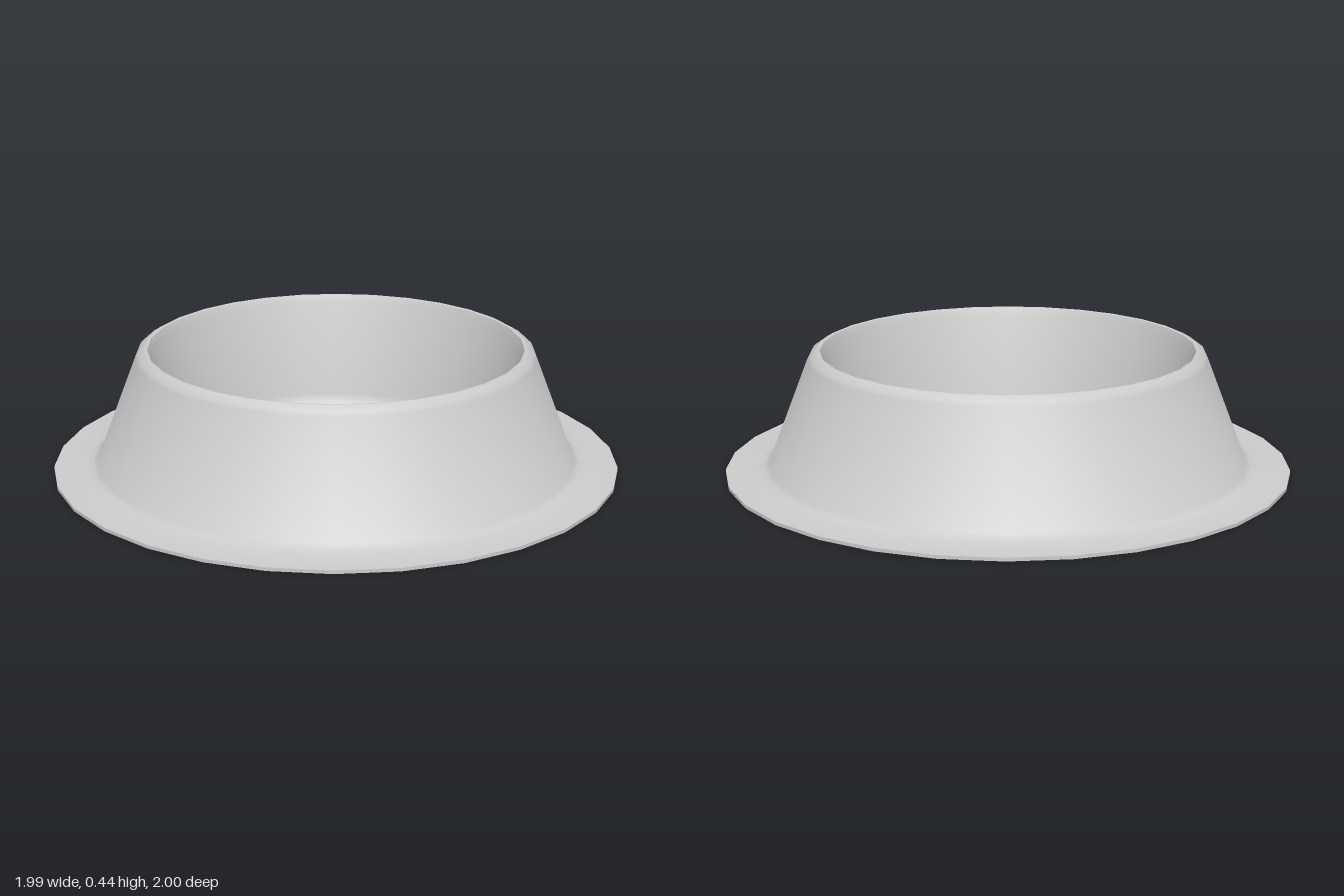
import * as THREE from 'three';
import { toCreasedNormals } from 'three/addons/utils/BufferGeometryUtils.js';

const SEGMENTS = 30;

// Revolves [radius, height] pairs; outward faces follow a counter-clockwise profile
function revolve(name, profile, material) {
  const points = profile.map(([r, y]) => new THREE.Vector2(r, y));
  const geometry = toCreasedNormals(new THREE.LatheGeometry(points, SEGMENTS), 0.6);
  const mesh = new THREE.Mesh(geometry, material);
  mesh.name = name;
  return mesh;
}

export function createModel() {
  const group = new THREE.Group();
  group.name = 'pet bowl';
  const material = new THREE.MeshStandardMaterial({ color: 0xcccccc, side: THREE.DoubleSide });

  // Underside of the dish, up to the top of the hollow base
  const dishUnderside = [
    [0, 0.012], [0.49, 0.012], [0.53, 0.003], [0.555, 0.004], [0.575, 0.02],
    [0.583, 0.045], [0.655, 0.36],
  ];
  // Hollow inside of the skirt, down to the flange
  const skirtInside = [[0.67, 0.37], [0.79, 0.05], [0.85, 0.02], [0.89, 0], [1, 0]];
  // Flange, sloping outer wall and rounded lip
  const skirtOutside = [
    [1, 0], [1, 0.012], [0.89, 0.014], [0.865, 0.022], [0.847, 0.035],
    [0.703, 0.405], [0.695, 0.42], [0.67, 0.435], [0.66, 0.433],
  ];
  // Inner wall, groove and slightly raised floor
  const dishInside = [
    [0.66, 0.433], [0.65, 0.41], [0.58, 0.06], [0.572, 0.03], [0.555, 0.013],
    [0.535, 0.01], [0.515, 0.014], [0.495, 0.022], [0.47, 0.024], [0, 0.024],
  ];

  group.add(
    revolve('hollowUnderside', [...dishUnderside, ...skirtInside], material),
    revolve('skirtAndFlange', skirtOutside, material),
    revolve('dish', dishInside, material),
  );
  return group;
}
